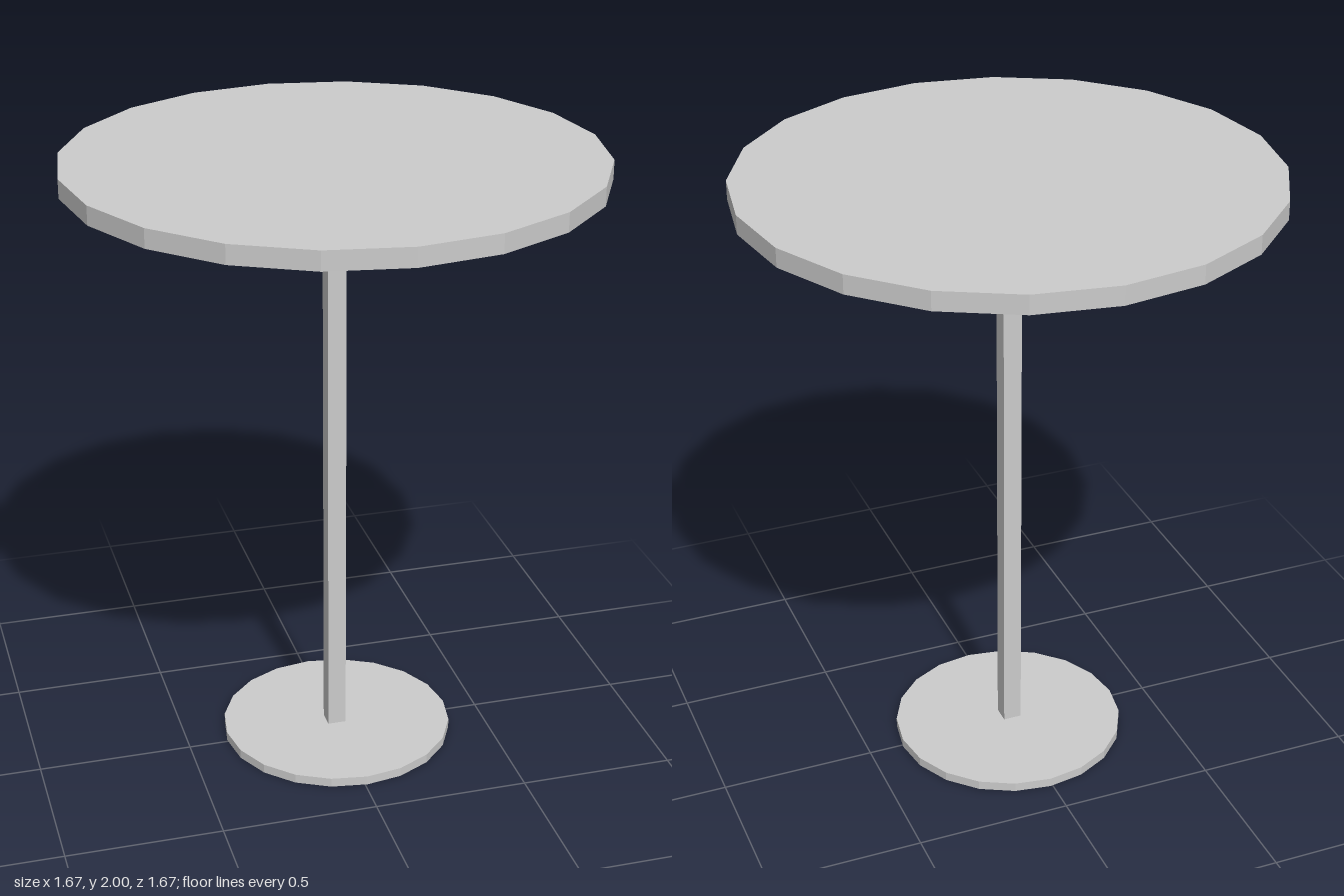
import * as THREE from 'three';

export function createModel() {
  const group = new THREE.Group();
  const material = new THREE.MeshStandardMaterial({ color: 0xcccccc, flatShading: true });

  const add = (name, geometry, x, y, z) => {
    const mesh = new THREE.Mesh(geometry, material);
    mesh.name = name;
    mesh.position.set(x, y, z);
    group.add(mesh);
  };

  // Twenty-sided round top
  add('tableTop', new THREE.CylinderGeometry(0.835, 0.835, 0.06, 20), 0, 1.97, 0);

  // Square post from the base to the underside of the top
  add('post', new THREE.BoxGeometry(0.06, 1.91, 0.06), 0, 0.985, 0);

  // Round foot plate, set slightly off centre
  add('base', new THREE.CylinderGeometry(0.379, 0.379, 0.03, 20), 0.008, 0.015, -0.008);

  return group;
}
